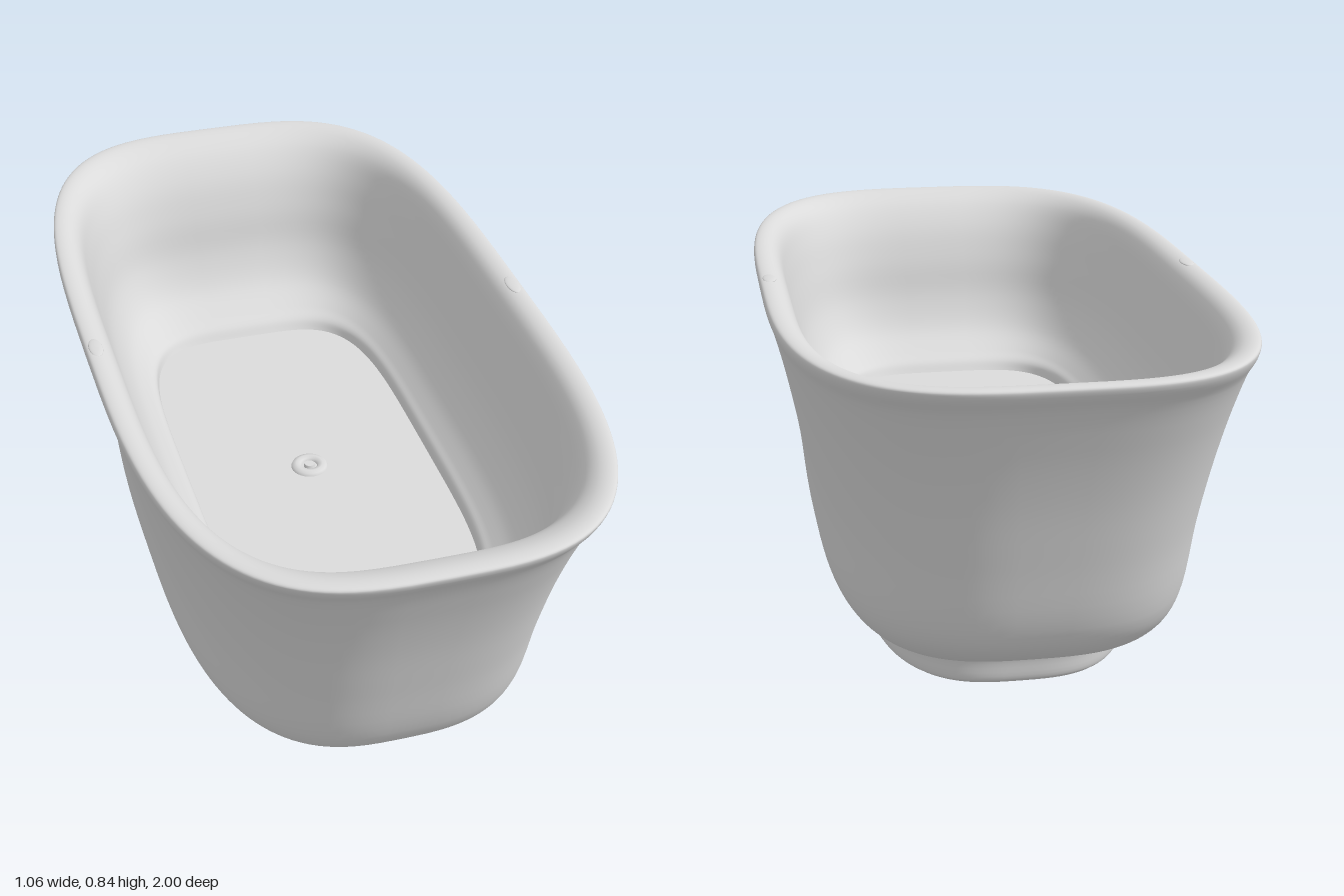
import * as THREE from 'three';

const SEGMENTS = 128;

// Rounded-rectangle ring point; n sets the squareness, the back end is a little squarer
function ringPoint(a, hx, hz, n) {
  const c = Math.cos(a), s = Math.sin(a);
  const e = 2 / (s < 0 ? n + 0.15 : n);
  return [
    Math.sign(c) * hx * Math.abs(c) ** e,
    Math.sign(s) * hz * Math.abs(s) ** e,
  ];
}

// Skins a list of rings [halfWidth, height, halfLength, squareness]
function loft(rings) {
  const pos = [], index = [];
  for (const [hx, y, hz, n] of rings) {
    for (let j = 0; j < SEGMENTS; j++) {
      const [x, z] = ringPoint((j / SEGMENTS) * Math.PI * 2, hx, hz, n);
      // the rim rises slightly toward both ends
      const lift = y > 0.7 ? 0.009 * z * z * ((y - 0.7) / 0.13) : 0;
      pos.push(x, y + lift, z);
    }
  }
  for (let i = 0; i < rings.length - 1; i++) {
    for (let j = 0; j < SEGMENTS; j++) {
      const k = (j + 1) % SEGMENTS;
      const a = i * SEGMENTS + j, b = i * SEGMENTS + k;
      const c = a + SEGMENTS, d = b + SEGMENTS;
      index.push(a, c, b, b, c, d);
    }
  }
  const g = new THREE.BufferGeometry();
  g.setAttribute('position', new THREE.Float32BufferAttribute(pos, 3));
  g.setIndex(index);
  g.computeVertexNormals();
  return g;
}

export function createModel() {
  const tub = new THREE.Group();
  tub.name = 'bathtub';
  const enamel = new THREE.MeshStandardMaterial({ color: 0xdadada });
  enamel.name = 'light grey enamel';

  const add = (name, geometry, parent = tub) => {
    const mesh = new THREE.Mesh(geometry, enamel);
    mesh.name = name;
    parent.add(mesh);
    return mesh;
  };

  // Wall section: up the outside, over the rim, down into the basin
  const section = [
    [0.288, 0.0, 0.535],
    [0.302, 0.012, 0.546],
    [0.308, 0.06, 0.553],
    [0.318, 0.085, 0.567],
    [0.345, 0.105, 0.625],
    [0.378, 0.13, 0.7],
    [0.404, 0.18, 0.765],
    [0.418, 0.24, 0.8],
    [0.437, 0.4, 0.842],
    [0.465, 0.55, 0.882],
    [0.494, 0.68, 0.927],
    [0.518, 0.77, 0.968],
    [0.53, 0.808, 0.996],
    [0.528, 0.822, 0.999],
    [0.512, 0.827, 0.98],
    [0.486, 0.82, 0.945],
    [0.465, 0.795, 0.9],
    [0.45, 0.74, 0.852],
    [0.432, 0.66, 0.815],
    [0.405, 0.56, 0.785],
    [0.366, 0.48, 0.738],
    [0.326, 0.433, 0.672],
    [0.305, 0.413, 0.636],
    [0.3, 0.39, 0.618],
  ].map((p) => new THREE.Vector3(...p));
  const curve = new THREE.CatmullRomCurve3(section, false, 'centripetal');
  // Plan shape runs from a rounder foot to a squarer basin floor
  const squareness = (t) => 2.8 + 1.4 * t * t;
  add('tubWall', loft(curve.getPoints(115).map((p, i) => [p.x, p.y, p.z, squareness(i / 115)])));

  // Flat underside and basin floor
  add('baseUnderside', loft([[0, 0, 0, squareness(0)], [0.288, 0, 0.535, squareness(0)]]));
  add('basinFloor', loft([[0.3, 0.39, 0.618, squareness(1)], [0, 0.39, 0, squareness(1)]]));

  // Drain with a raised ring and a sunken plug
  const drain = new THREE.Group();
  drain.name = 'drain';
  drain.position.y = 0.39;
  tub.add(drain);
  const ringProfile = [[0.019, 0.001], [0.022, 0.008], [0.032, 0.01], [0.042, 0.007], [0.045, 0]]
    .map(([r, y]) => new THREE.Vector2(r, y)).reverse();
  add('drainRing', new THREE.LatheGeometry(ringProfile, 32), drain);
  add('drainPlug', new THREE.CylinderGeometry(0.012, 0.014, 0.008, 24), drain).position.y = 0.004;

  // Small, nearly flush oval fittings at the middle of each long rim
  for (const side of [-1, 1]) {
    const fitting = add(side > 0 ? 'leftRimFitting' : 'rightRimFitting',
      new THREE.SphereGeometry(1, 24, 12));
    fitting.scale.set(0.016, 0.004, 0.038);
    fitting.position.set(side * 0.506, 0.826, 0);
  }

  return tub;
}
